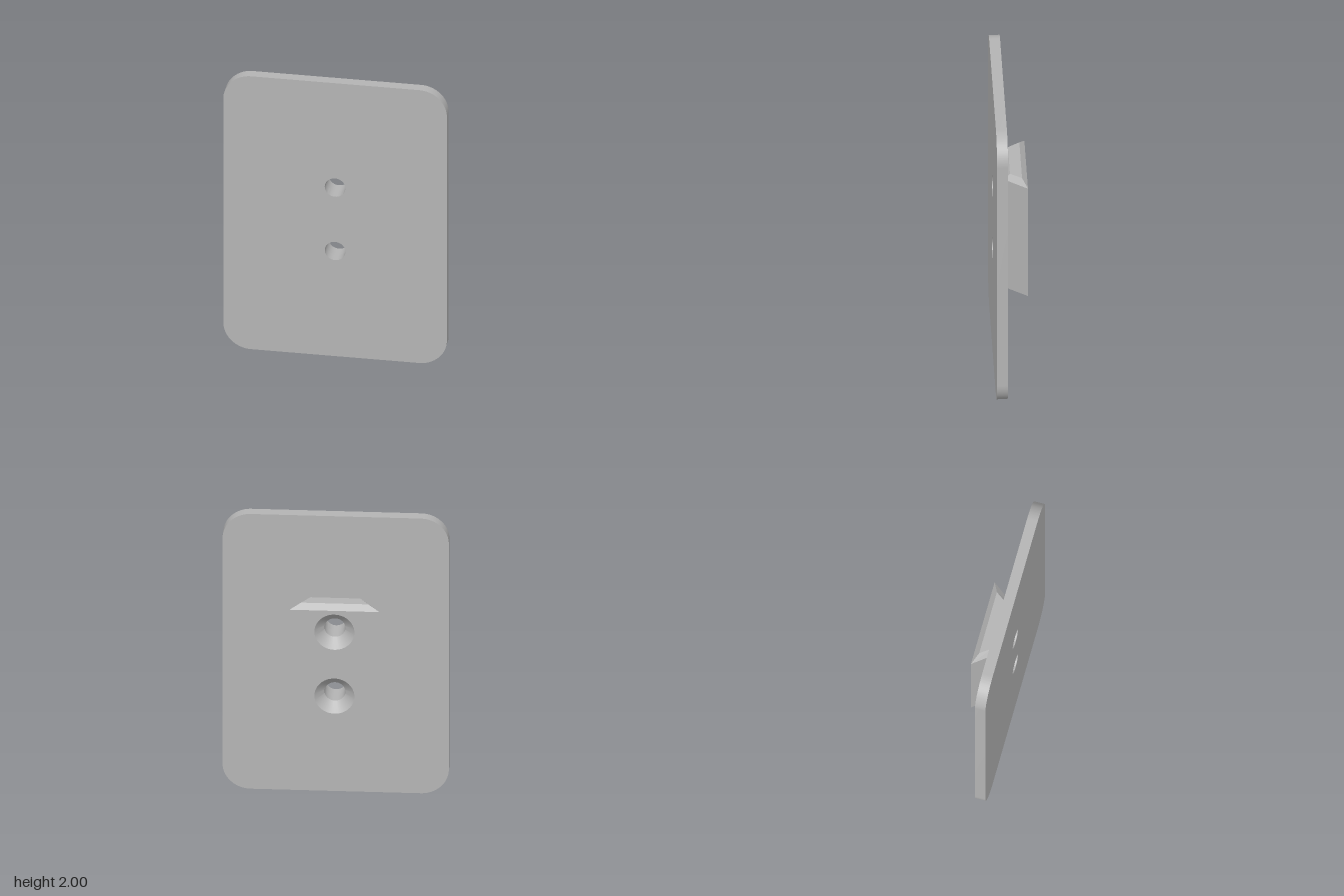
import * as THREE from 'three';
import { toCreasedNormals } from 'three/addons/utils/BufferGeometryUtils.js';

const HOLE_Y = [0.77, 1.235];
const HOLE_R = 0.067, SINK_R = 0.128;
const FRONT = 0.107, JOINT = 0.037, BACK = -0.108, SINK_END = -0.045;

// Punch both screw holes into a shape
function addHoles(shape, radius) {
  for (const y of HOLE_Y) {
    const hole = new THREE.Path();
    hole.absarc(0, y, radius, 0, Math.PI * 2, true);
    shape.holes.push(hole);
  }
  return shape;
}

function roundedRect(w, h, r) {
  const s = new THREE.Shape();
  s.absarc(w - r, r, r, -Math.PI / 2, 0);
  s.absarc(w - r, h - r, r, 0, Math.PI / 2);
  s.absarc(-w + r, h - r, r, Math.PI / 2, Math.PI);
  s.absarc(-w + r, r, r, Math.PI, Math.PI * 1.5);
  s.closePath();
  return s;
}

// Trapezoid cross-section, counter-clockwise seen from above
function section(y, backHalf, backZ, frontHalf, frontZ) {
  return [[backHalf, y, backZ], [-backHalf, y, backZ], [-frontHalf, y, frontZ], [frontHalf, y, frontZ]];
}

// Dovetail walls: straight sides, bottom, chamfered top
function dovetailGeometry() {
  const low = section(0.58, 0.288, BACK, 0.175, JOINT);
  const mid = section(1.39, 0.288, BACK, 0.175, JOINT);
  const top = section(1.425, 0.215, -0.073, 0.16, 0.002);
  const pos = [];
  const quad = (a, b, c, d) => pos.push(...a, ...b, ...c, ...a, ...c, ...d);
  for (let i = 0; i < 4; i++) {
    const j = (i + 1) % 4;
    if (i % 2) quad(low[i], low[j], mid[j], mid[i]);
    quad(mid[i], mid[j], top[j], top[i]);
  }
  quad(...top);
  quad(...low.slice().reverse());
  const g = new THREE.BufferGeometry();
  g.setAttribute('position', new THREE.Float32BufferAttribute(pos, 3));
  g.computeVertexNormals();
  return g;
}

export function createModel() {
  const model = new THREE.Group();
  model.name = 'mountingPlate';
  const grey = new THREE.MeshStandardMaterial({ color: 0xb4b4b4 });
  grey.name = 'grey';
  const add = (name, geometry, parent = model) => {
    const mesh = new THREE.Mesh(geometry, grey);
    mesh.name = name;
    parent.add(mesh);
    return mesh;
  };

  // Rounded plate with through holes
  const plate = new THREE.ExtrudeGeometry(addHoles(roundedRect(0.724, 2, 0.18), HOLE_R), {
    depth: FRONT - JOINT, bevelEnabled: false, curveSegments: 24,
  });
  plate.translate(0, 0, JOINT);
  add('plate', toCreasedNormals(plate, 0.6));

  // Dovetail block on the back
  const block = new THREE.Group();
  block.name = 'dovetailBlock';
  model.add(block);
  add('blockWalls', dovetailGeometry(), block);

  const face = new THREE.Shape();
  face.moveTo(-0.288, 0.58).lineTo(0.288, 0.58).lineTo(0.288, 1.39).lineTo(-0.288, 1.39).closePath();
  const faceGeometry = new THREE.ShapeGeometry(addHoles(face, SINK_R), 24);
  faceGeometry.rotateY(Math.PI).translate(0, 0, BACK);
  add('blockFace', faceGeometry, block);

  // Countersunk screw holes, surfaces facing inward
  const profile = [[HOLE_R, JOINT], [HOLE_R, SINK_END], [SINK_R, BACK]].map(p => new THREE.Vector2(...p));
  const sink = toCreasedNormals(new THREE.LatheGeometry(profile, 48).rotateX(Math.PI / 2), 0.6);
  for (const y of HOLE_Y) add('countersunkHole', sink, block).position.y = y;

  return model;
}
